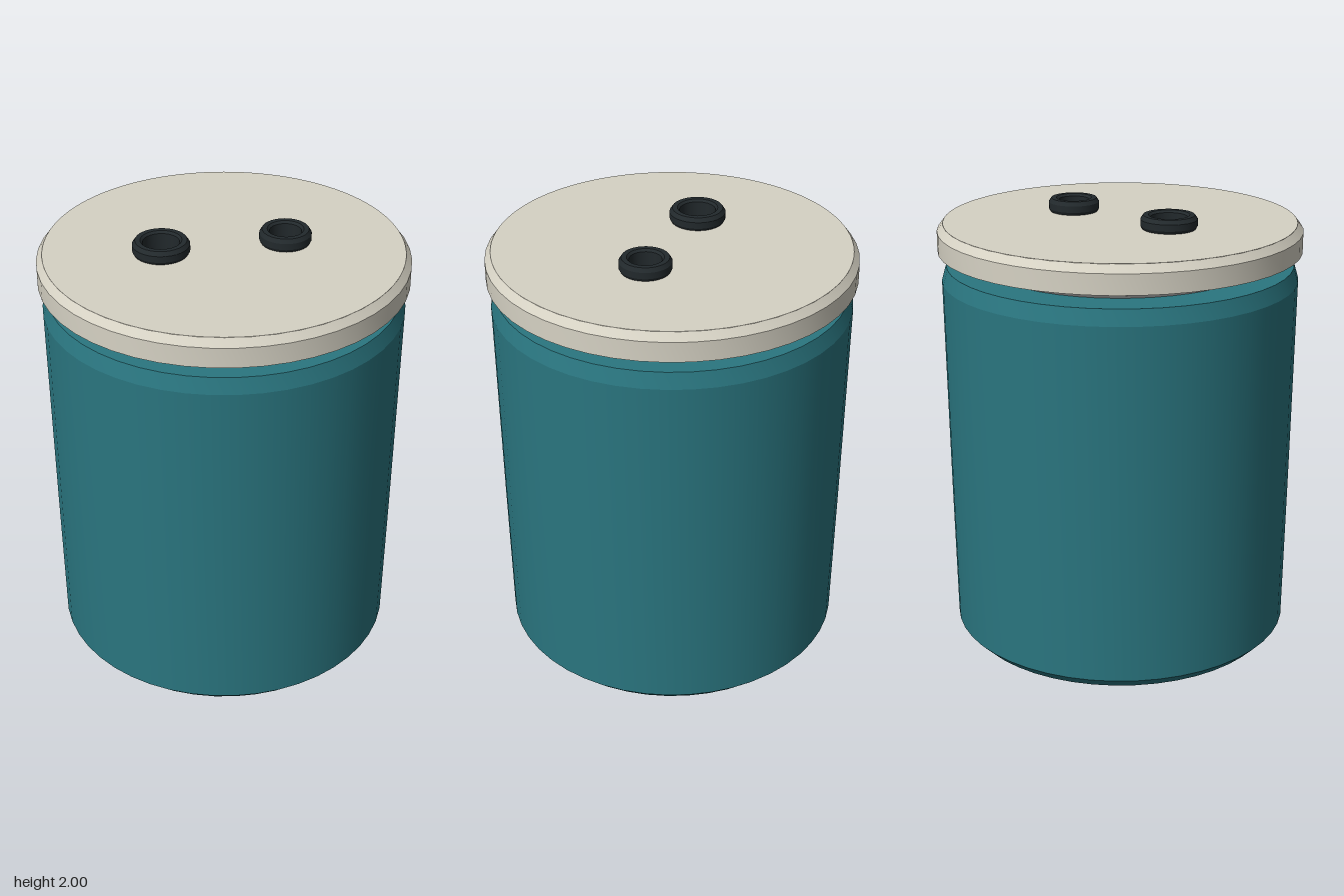
import * as THREE from 'three';
import { toCreasedNormals } from 'three/addons/utils/BufferGeometryUtils.js';

const mat = (color) => new THREE.MeshStandardMaterial({ color });
const teal = mat(0x2a7680);
const cream = mat(0xd6d2c4);
const rubber = mat(0x22292c);
const grey = mat(0xcccccc);

// Turned part; the profile runs bottom to top along the outside
function turned(name, profile, material, segments = 48) {
  const points = profile.map(([r, y]) => new THREE.Vector2(r, y));
  const geometry = toCreasedNormals(new THREE.LatheGeometry(points, segments), 0.25);
  const mesh = new THREE.Mesh(geometry, material);
  mesh.name = name;
  return mesh;
}

export function createModel() {
  const model = new THREE.Group();
  model.name = 'lidded canister';

  // Tapered body with chamfered foot, shoulder and hollow inside
  model.add(turned('body', [
    [0, 0], [0.725, 0], [0.775, 0.05], [0.785, 0.7], [0.797, 1.68],
    [0.777, 1.75], [0.6, 1.75], [0.6, 1.7],
  ], teal));
  model.add(turned('liner', [[0.6, 1.7], [0.58, 0.08], [0, 0.08]], grey));

  // Seal and the neck joining it to the lid
  model.add(turned('seal', [
    [0.5, 1.75], [0.62, 1.75], [0.635, 1.765], [0.635, 1.785], [0.62, 1.8], [0.5, 1.8], [0.5, 1.75],
  ], grey));
  model.add(turned('neck', [
    [0.5, 1.8], [0.56, 1.8], [0.56, 1.82], [0.5, 1.82], [0.5, 1.8],
  ], grey));

  // Lid: pierced disc inside a chamfered rim
  const ports = [
    { x: -0.275, r: 0.125, bore: 0.08, side: 'right' },
    { x: 0.272, r: 0.114, bore: 0.07, side: 'left' },
  ];
  const disc = new THREE.Shape().absarc(0, 0, 0.785, 0, Math.PI * 2);
  for (const { x, bore } of ports) {
    disc.holes.push(new THREE.Path().absarc(x, 0, bore + 0.01, 0, Math.PI * 2, true));
  }
  const lidGeometry = new THREE.ExtrudeGeometry(disc, {
    depth: 0.125, bevelEnabled: false, curveSegments: 48,
  });
  lidGeometry.rotateX(-Math.PI / 2).translate(0, 1.815, 0);
  const lid = new THREE.Mesh(lidGeometry, cream);
  lid.name = 'lidDisc';
  model.add(lid);
  model.add(turned('lidRim', [
    [0.785, 1.815], [0.812, 1.815], [0.812, 1.905], [0.785, 1.94],
  ], cream));

  // Rubber grommets lining the two ports
  for (const { x, r, bore, side } of ports) {
    const grommet = turned(side + 'Grommet', [
      [bore, 1.81], [bore + 0.01, 1.81], [bore + 0.01, 1.93], [r * 0.93, 1.938],
      [r, 1.953], [r, 1.982], [r * 0.9, 2], [bore + 0.01, 2], [bore, 1.99], [bore, 1.81],
    ], rubber, 32);
    grommet.position.x = x;
    model.add(grommet);
  }

  // Plug closing the right port
  const plug = turned('portPlug', [[0, 1.81], [0.08, 1.81], [0.08, 1.9], [0, 1.91]], teal, 32);
  plug.position.x = ports[0].x;
  model.add(plug);

  return model;
}
